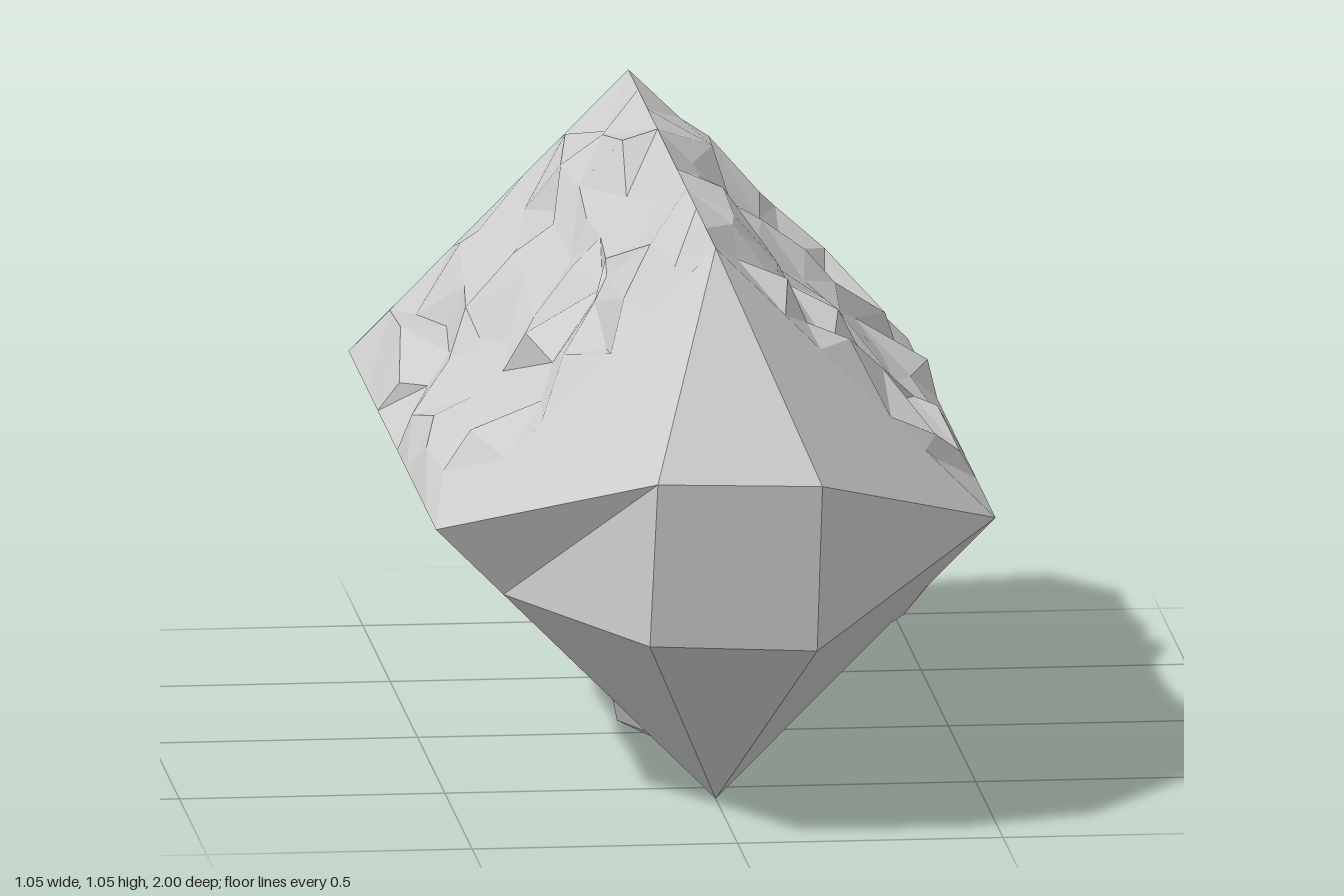
import * as THREE from 'three';

const material = new THREE.MeshStandardMaterial({ color: 0xcccccc, flatShading: true });
const FRONT = 0.6, BACK = -1;

// Diamond cross-section, counter-clockwise seen from the front: top, left, bottom, right
const corners = [[0, 1.055], [-0.527, 0.527], [0, 0], [0.527, 0.527]];

// Small seeded generator
function seeded(seed) {
  return () => {
    seed = (seed * 16807) % 2147483647;
    return seed / 2147483647;
  };
}

function makeMesh(name, positions, index) {
  let geometry = new THREE.BufferGeometry();
  geometry.setAttribute('position', new THREE.Float32BufferAttribute(positions, 3));
  geometry.setIndex(index);
  geometry = geometry.toNonIndexed();
  geometry.computeVertexNormals();
  const mesh = new THREE.Mesh(geometry, material);
  mesh.name = name;
  return mesh;
}

// Chipped rocky side: a jittered grid with straight borders
function roughSide(name, a, b, seed) {
  const random = seeded(seed);
  const across = 8, along = 9;
  const dx = b[0] - a[0], dy = b[1] - a[1], width = Math.hypot(dx, dy);
  const nx = dy / width, ny = -dx / width; // outward is the reverse of this
  const positions = [], index = [];
  for (let j = 0; j <= along; j++) {
    for (let i = 0; i <= across; i++) {
      const r = [random(), random(), random()];
      const border = i === 0 || i === across, end = j === 0 || j === along;
      const inside = !border && !end;
      const u = (i + (inside ? (r[0] - 0.5) * 0.85 : 0)) / across;
      const w = (j + (inside ? (r[1] - 0.5) * 0.9 : 0)) / along;
      const bump = inside ? -0.016 + 0.056 * r[2] : 0;
      positions.push(
        a[0] + dx * u - nx * -bump,
        a[1] + dy * u - ny * -bump,
        FRONT + (BACK - FRONT) * w);
    }
  }
  const row = across + 1;
  for (let j = 0; j < along; j++) {
    for (let i = 0; i < across; i++) {
      const p = j * row + i;
      if ((i + j) % 3) index.push(p, p + row, p + 1, p + 1, p + row, p + row + 1);
      else index.push(p, p + row, p + row + 1, p, p + row + 1, p + 1);
    }
  }
  return makeMesh(name, positions, index);
}

export function createModel() {
  const model = new THREE.Group();
  model.name = 'crystalShard';

  // Four rough sides
  const sides = new THREE.Group();
  sides.name = 'roughSides';
  ['upperLeftSide', 'lowerLeftSide', 'lowerRightSide', 'upperRightSide'].forEach((name, k) => {
    sides.add(roughSide(name, corners[k], corners[(k + 1) % 4], 7919 * (k + 3)));
  });
  model.add(sides);

  // Faceted front tip: base corners 0-3, chipped base point 4, small end facet 5-8
  const base = [...corners, [-0.4, 0.4]].map(([x, y]) => [x, y, FRONT]);
  const facet = [[-0.15, 0.69, 1], [0.16, 0.68, 1], [0.15, 0.365, 1], [-0.165, 0.38, 1]];
  model.add(makeMesh('facetedTip', [...base, ...facet].flat(), [
    5, 8, 7, 5, 7, 6,
    0, 5, 6, 0, 6, 3,
    3, 6, 7, 3, 7, 2,
    2, 7, 8, 2, 8, 4,
    4, 8, 5, 4, 5, 1,
    1, 5, 0,
  ]));

  // Flat back end
  const back = corners.map(([x, y]) => [x, y, BACK]).flat();
  model.add(makeMesh('backEnd', back, [0, 2, 1, 0, 3, 2]));

  return model;
}
